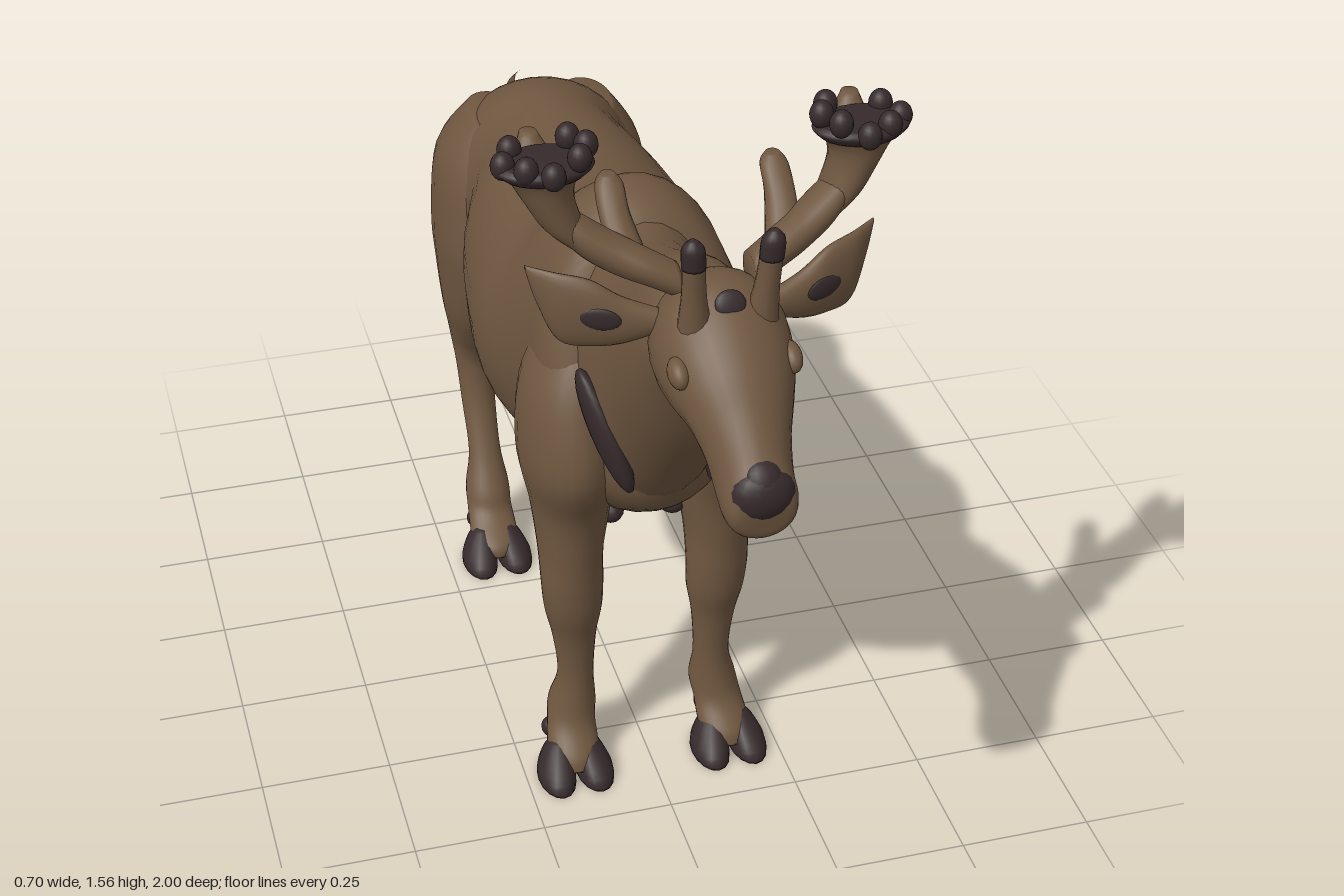
import * as THREE from 'three';

const mat = (name, color) => Object.assign(new THREE.MeshStandardMaterial({ color }), { name });
const lerpRow = (rows, i, t) => rows[i].map((b, k) => {
  const a = rows[Math.max(i - 1, 0)][k], c = rows[i + 1][k];
  const d = rows[Math.min(i + 2, rows.length - 1)][k];
  return b + 0.5 * t * (c - a + t * (2 * a - 5 * b + 4 * c - d + t * (3 * (b - c) + d - a)));
});

// Ring rules: each turns one row and an angle into a point
// profile: [upper z, upper y, lower z, lower y, half width]
const profile = ([zt, yt, zb, yb, w], a) => {
  const t = (1 + Math.sin(a)) / 2;
  return [Math.max(w, 0) * Math.cos(a), yb + (yt - yb) * t, zb + (zt - zb) * t];
};
// level: [y, x, z, radius x, radius z]
const level = ([y, x, z, rx, rz], a) => [x + rx * Math.cos(a), y, z + rz * Math.sin(a)];
// upright: [x, y, z, radius y, radius z]
const upright = ([x, y, z, ry, rz], a) => [x, y + ry * Math.cos(a), z + rz * Math.sin(a)];

// Smooth closed skin through the rows
function loft(rows, ring, n = 24, steps = 5) {
  const all = [];
  for (let i = 0; i < rows.length - 1; i++)
    for (let s = 0; s < steps; s++) all.push(lerpRow(rows, i, s / steps));
  all.push(rows[rows.length - 1]);
  const pos = [], idx = [];
  for (const r of all)
    for (let j = 0; j < n; j++) pos.push(...ring(r, j / n * Math.PI * 2));
  for (let i = 0; i < all.length - 1; i++)
    for (let j = 0; j < n; j++) {
      const a = i * n + j, b = i * n + (j + 1) % n;
      idx.push(a, b, a + n, b, b + n, a + n);
    }
  // end caps
  for (const [start, flip] of [[0, true], [(all.length - 1) * n, false]]) {
    const c = [0, 0, 0], ci = pos.length / 3;
    for (let j = 0; j < n; j++) for (let k = 0; k < 3; k++) c[k] += pos[(start + j) * 3 + k] / n;
    pos.push(...c);
    for (let j = 0; j < n; j++) {
      const a = start + j, b = start + (j + 1) % n;
      if (flip) idx.push(ci, b, a); else idx.push(ci, a, b);
    }
  }
  // turn the skin outward when its volume is negative
  const v = i => new THREE.Vector3().fromArray(pos, i * 3);
  let vol = 0;
  for (let i = 0; i < idx.length; i += 3) vol += v(idx[i]).dot(v(idx[i + 1]).cross(v(idx[i + 2])));
  if (vol < 0) idx.reverse();
  const g = new THREE.BufferGeometry();
  g.setAttribute('position', new THREE.Float32BufferAttribute(pos, 3));
  g.setIndex(idx);
  g.computeVertexNormals();
  return g;
}

export function createModel() {
  const model = new THREE.Group();
  const brown = mat('brownCoat', 0x6f5740), dark = mat('darkHornAndHoof', 0x362a2c);
  const add = (name, geo, m) => {
    const mesh = new THREE.Mesh(geo, m);
    mesh.name = name;
    model.add(mesh);
    return mesh;
  };
  const blob = (name, m, p, r, rot = [0, 0, 0]) => {
    const mesh = add(name, new THREE.SphereGeometry(1, 18, 12), m);
    mesh.position.set(...p);
    mesh.scale.set(...r);
    mesh.rotation.set(...rot);
  };

  // Trunk, neck and head
  add('body', loft([
    [-.715, .86, -.715, .78, .03], [-.69, .93, -.69, .7, .1], [-.62, 1.0, -.63, .62, .17],
    [-.5, 1.06, -.5, .58, .2], [-.38, 1.08, -.38, .585, .18], [-.25, 1.085, -.25, .535, .22],
    [-.05, 1.09, -.05, .505, .247], [.05, 1.12, .05, .51, .235], [.12, 1.18, .12, .515, .215],
    [.19, 1.207, .2, .525, .2], [.27, 1.17, .3, .56, .2], [.31, 1.08, .4, .63, .17],
    [.36, .95, .44, .7, .08]], profile, 36), brown);
  add('neck', loft([
    [.15, 1.18, .3, .56, .15], [.3, 1.165, .43, .68, .14], [.42, 1.2, .52, .79, .125],
    [.55, 1.26, .62, .93, .115], [.64, 1.265, .69, 1.08, .1], [.7, 1.22, .7, 1.1, .05]], profile, 28), brown);
  add('head', loft([
    [.62, 1.24, .64, 1.12, .04], [.66, 1.3, .67, 1.075, .1], [.73, 1.32, .72, 1.06, .115],
    [.8, 1.285, .78, 1.065, .108], [.86, 1.235, .83, 1.065, .09], [.91, 1.18, .87, 1.03, .072],
    [.955, 1.13, .9, .985, .064], [.98, 1.1, .945, .975, .062], [.99, 1.07, .98, .985, .05],
    [.992, 1.04, .988, 1.01, .02]], profile, 28), brown);
  blob('nose', dark, [0, 1.062, .965], [.055, .048, .036]);
  blob('noseBridge', dark, [0, 1.095, .97], [.03, .032, .018], [-.7, 0, 0]);
  blob('foreheadSpot', dark, [0, 1.3, .777], [.026, .023, .008], [-.55, 0, 0]);

  // Tail with tuft
  add('tail', new THREE.TubeGeometry(new THREE.CatmullRomCurve3([
    [-.64, .99], [-.71, .94], [-.79, .84], [-.88, .71]].map(([z, y]) => new THREE.Vector3(0, y, z))),
    16, .02, 10), brown);
  add('tailTuft', loft([
    [-.9, .73, -.84, .72, .025], [-.96, .68, -.835, .66, .07], [-1, .61, -.85, .58, .083],
    [-.99, .52, -.9, .5, .055], [-.97, .395, -.96, .395, .005]], profile), dark);

  const hoof = (name, x, z) => {
    for (const t of [-1, 1]) {
      add(name + 'Toe', loft([
        [0, x + t * .038, z, .036, .066], [.02, x + t * .037, z - .003, .035, .06],
        [.05, x + t * .03, z - .02, .027, .038], [.07, x + t * .026, z - .03, .012, .016]], level, 16, 3), dark);
      blob(name + 'Dewclaw', dark, [x + t * .03, .055, z - .085], [.016, .02, .018]);
    }
  };

  for (const s of [1, -1]) {
    const side = s > 0 ? 'left' : 'right';

    // Front leg
    add(side + 'FrontLeg', loft([
      [.99, .1, .25, .05, .07], [.87, .14, .265, .08, .12], [.72, .146, .275, .09, .145],
      [.6, .14, .275, .075, .1], [.5, .142, .285, .062, .076], [.42, .142, .298, .059, .058],
      [.36, .14, .295, .055, .055], [.29, .138, .295, .042, .038], [.2, .136, .295, .035, .032],
      [.13, .142, .288, .046, .046], [.09, .148, .305, .047, .043], [.05, .152, .335, .05, .05],
      [.025, .154, .345, .045, .05]].map(([y, x, ...r]) => [y, x * s, ...r]), level), brown);
    hoof(side + 'Front', .155 * s, .365);

    // Hind leg, the right one stepping forward
    const z = s > 0
      ? [-.52, -.53, -.535, -.54, -.57, -.615, -.65, -.64, -.636, -.642, -.642, -.622, -.59, -.58]
      : [-.51, -.52, -.52, -.52, -.525, -.545, -.56, -.55, -.525, -.475, -.447, -.422, -.37, -.36];
    add(side + 'HindLeg', loft([
      [1, .1, .05, .08], [.9, .12, .09, .14], [.75, .13, .093, .168], [.65, .135, .083, .145],
      [.55, .14, .068, .11], [.48, .14, .055, .085], [.43, .14, .046, .067], [.38, .14, .04, .045],
      [.3, .14, .036, .034], [.2, .14, .034, .03], [.13, .142, .046, .046], [.09, .144, .047, .043],
      [.05, .146, .05, .05], [.025, .147, .045, .05]
    ].map(([y, x, rx, rz], i) => [y, x * s, z[i], rx, rz]), level), brown);
    hoof(side + 'Hind', .147 * s, s > 0 ? -.562 : -.342);

    // Dark chest stripe and armpit patch
    blob(side + 'ChestStripe', dark, [.112 * s, .84, .425], [.026, .125, .05], [-.35, 0, -.3 * s]);
    blob(side + 'ArmpitPatch', dark, [.06 * s, .55, .25], [.03, .03, .05]);

    // Ear, eyelid and horn knob
    add(side + 'Ear', loft([
      [.09, 1.235, .695, .02, .018], [.15, 1.235, .68, .043, .022], [.2, 1.247, .665, .062, .022],
      [.25, 1.255, .645, .063, .02], [.28, 1.288, .625, .032, .012], [.296, 1.318, .615, .004, .004]
    ].map(([x, ...r]) => [x * s, ...r]), upright), brown);
    blob(side + 'EarInner', dark, [.19 * s, 1.247, .688], [.035, .02, .006], [0, .35 * s, .1 * s]);
    blob(side + 'Eyelid', brown, [.094 * s, 1.205, .81], [.018, .022, .03], [.4, 0, 0]);
    add(side + 'HornKnob', loft([
      [1.25, .055 * s, .765, .03, .03], [1.32, .06 * s, .775, .021, .022],
      [1.385, .064 * s, .783, .019, .019]], level, 14), brown);
    add(side + 'HornKnobTip', loft([
      [1.38, .064 * s, .783, .02, .02], [1.415, .066 * s, .785, .019, .019],
      [1.432, .067 * s, .786, .006, .006]], level, 14), dark);

    // Antler beam, palm and tines
    add(side + 'AntlerBeam', loft([
      [.06, 1.3, .685, .03, .035], [.11, 1.325, .67, .032, .04], [.16, 1.345, .645, .036, .045],
      [.21, 1.375, .625, .036, .045], [.25, 1.41, .615, .025, .03]
    ].map(([x, ...r]) => [x * s, ...r]), upright, 18), brown);
    add(side + 'AntlerPalm', loft([
      [1.35, .2, .625, .02, .03], [1.39, .232, .615, .034, .045], [1.44, .255, .612, .042, .048],
      [1.475, .263, .61, .054, .052], [1.505, .263, .615, .076, .056]
    ].map(([y, x, ...r]) => [y, x * s, ...r]), level), brown);
    add(side + 'AntlerInnerTine', loft([
      [1.33, .13, .645, .03, .035], [1.38, .14, .59, .026, .03], [1.415, .14, .555, .024, .024],
      [1.432, .14, .545, .012, .012]].map(([y, x, ...r]) => [y, x * s, ...r]), level, 14), brown);
    add(side + 'AntlerBackTine', loft([
      [1.42, .255, .6, .03, .03], [1.48, .265, .56, .032, .03],
      [1.525, .27, .54, .014, .014]].map(([y, x, ...r]) => [y, x * s, ...r]), level, 14), brown);
    add(side + 'AntlerCrown', loft([
      [1.49, .263 * s, .618, .068, .052], [1.505, .263 * s, .62, .082, .058],
      [1.515, .263 * s, .62, .07, .05]], level, 24, 3), dark);
    for (const [x, y, kz] of [[.195, 1.532, .62], [.215, 1.532, .66], [.215, 1.528, .58],
      [.26, 1.51, .672], [.3, 1.517, .655], [.33, 1.512, .62], [.31, 1.517, .58]])
      blob(side + 'CrownPoint', dark, [x * s, y, kz], [.02, .024, .02]);
  }
  return model;
}
